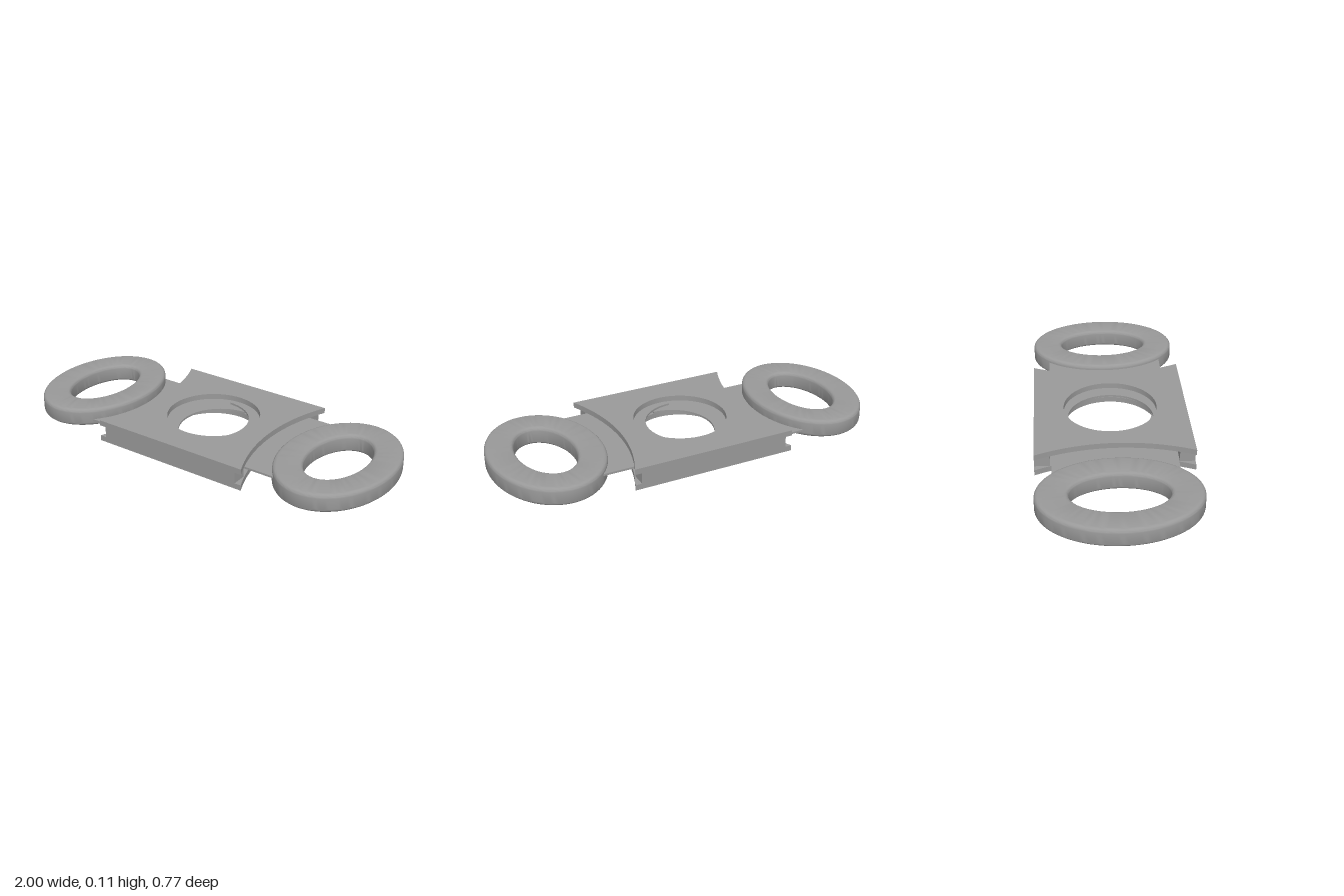
import * as THREE from 'three';
import { toCreasedNormals } from 'three/addons/utils/BufferGeometryUtils.js';

const steel = new THREE.MeshStandardMaterial({ color: 0x999999 });
steel.name = 'steel grey';

function add(group, name, geometry) {
  const mesh = new THREE.Mesh(geometry, steel);
  mesh.name = name;
  group.add(mesh);
  return mesh;
}

// Flat outline in the ground plane, raised from y to y + height
function slab(shape, y, height) {
  const g = new THREE.ExtrudeGeometry(shape, { depth: height, bevelEnabled: false, curveSegments: 48 });
  g.rotateX(-Math.PI / 2).translate(0, y, 0);
  return toCreasedNormals(g, 0.5);
}

// Body plate: concave ends and a round opening
function plateShape() {
  const w = 0.425, d = 0.385, waist = 0.34;
  const sag = w - waist;
  const r = (d * d + sag * sag) / (2 * sag);
  const a = Math.asin(d / r);
  const s = new THREE.Shape();
  s.moveTo(-w, -d);
  s.lineTo(w, -d);
  s.absarc(waist + r, 0, r, Math.PI + a, Math.PI - a, true);
  s.lineTo(-w, d);
  s.absarc(-waist - r, 0, r, a, -a, true);
  const hole = new THREE.Path();
  hole.absarc(0, 0, 0.235, 0, Math.PI * 2, true);
  s.holes.push(hole);
  return s;
}

// Sliding blade for the +x side, with a half-round cutting edge
function bladeShape() {
  const tip = -0.045, r = 0.215, d = 0.303;
  const s = new THREE.Shape();
  s.moveTo(tip, -d);
  s.lineTo(0.56, -d);
  s.lineTo(0.56, d);
  s.lineTo(tip, d);
  s.lineTo(tip, r);
  s.absarc(tip, 0, r, Math.PI / 2, -Math.PI / 2, true);
  s.closePath();
  return s;
}

// Oval finger ring: rounded section swept round, with its own inner and outer ovals
function ringGeometry() {
  const bottom = 0.01, top = 0.104, inner = [0.14, 0.23], width = [0.14, 0.155];
  const ry = 0.02, ru = 0.14;
  const corners = [
    [1 - ru, bottom + ry, -1], [1 - ru, top - ry, 0],
    [ru, top - ry, 1], [ru, bottom + ry, 2],
  ];
  const profile = [];
  for (const [u, y, q] of corners) {
    for (let i = 0; i <= 5; i++) {
      const a = (q + i / 5) * Math.PI / 2;
      profile.push(new THREE.Vector2(1 + u + ru * Math.cos(a), y + ry * Math.sin(a)));
    }
  }
  profile.push(profile[0].clone());
  const g = new THREE.LatheGeometry(profile, 96);
  const p = g.attributes.position;
  for (let i = 0; i < p.count; i++) {
    const x = p.getX(i), z = p.getZ(i), r = Math.hypot(x, z);
    p.setX(i, x / r * (inner[0] + width[0] * (r - 1)));
    p.setZ(i, z / r * (inner[1] + width[1] * (r - 1)));
  }
  return toCreasedNormals(g, 0.6);
}

export function createModel() {
  const model = new THREE.Group();
  model.name = 'doubleBladeCutter';

  // Body: two plates joined by side walls
  const body = new THREE.Group();
  body.name = 'body';
  model.add(body);
  add(body, 'bottomPlate', slab(plateShape(), 0, 0.028));
  add(body, 'topPlate', slab(plateShape(), 0.084, 0.028));
  for (const side of [-1, 1]) {
    const wall = add(body, side > 0 ? 'frontWall' : 'backWall', new THREE.BoxGeometry(0.78, 0.056, 0.075));
    wall.position.set(0, 0.056, side * 0.3475);
  }

  // Sliders: a blade and a finger ring on each side
  for (const side of [1, -1]) {
    const slider = new THREE.Group();
    slider.name = side > 0 ? 'leftSlider' : 'rightSlider';
    add(slider, 'blade', slab(bladeShape(), side > 0 ? 0.068 : 0.038, 0.01));
    add(slider, 'fingerRing', ringGeometry()).position.x = 0.72;
    if (side < 0) slider.rotation.y = Math.PI;
    model.add(slider);
  }
  return model;
}
